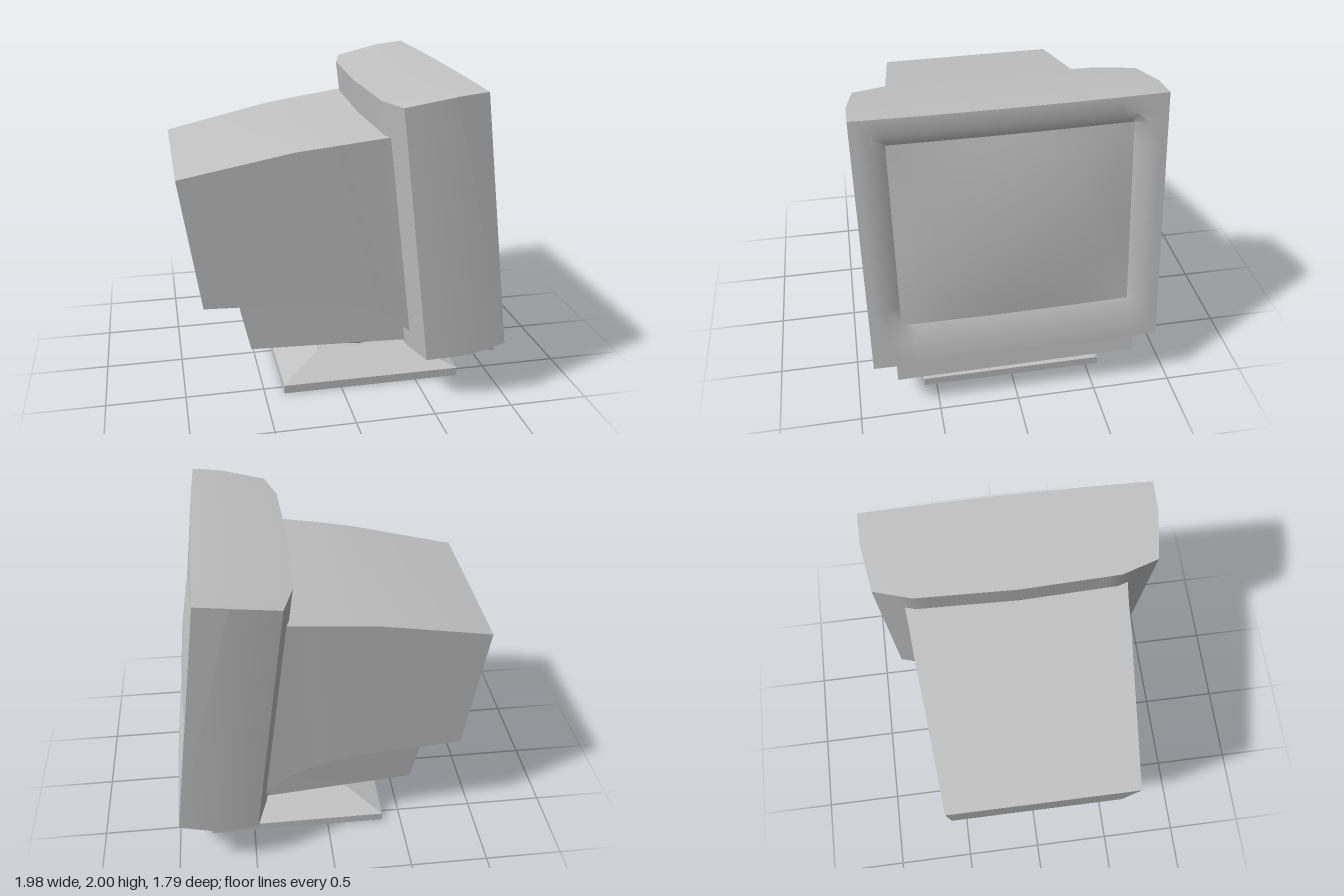
import * as THREE from 'three';
import { toCreasedNormals } from 'three/addons/utils/BufferGeometryUtils.js';

const grey = new THREE.MeshStandardMaterial({ color: 0xc2c2c2 });
grey.name = 'casing grey';

// Skins rows of points; optionally closes each row into a ring and caps both ends.
function skin(rows, { ring = false, caps = false, crease = 0.6, keep = () => true } = {}) {
  const n = rows[0].length, index = [];
  for (let i = 0; i < rows.length - 1; i++) {
    for (let j = 0; j < (ring ? n : n - 1); j++) {
      if (!keep(i, j)) continue;
      const k = (j + 1) % n;
      const a = i * n + j, b = i * n + k, c = (i + 1) * n + k, d = (i + 1) * n + j;
      index.push(a, b, c, a, c, d);
    }
  }
  if (caps) {
    const last = (rows.length - 1) * n;
    for (let j = 1; j < n - 1; j++) index.push(0, j + 1, j, last, last + j, last + j + 1);
  }
  const g = new THREE.BufferGeometry();
  g.setAttribute('position', new THREE.Float32BufferAttribute(rows.flat(2), 3));
  g.setIndex(index);
  return toCreasedNormals(g, crease);
}

// Four-cornered sections [topX, topY, bottomX, bottomY, halfWidth] running back to front.
const boxLoft = (sections) => skin(
  sections.map(([tx, ty, bx, by, w]) => [[tx, ty, -w], [tx, ty, w], [bx, by, w], [bx, by, -w]]),
  { ring: true, caps: true });

function add(parent, name, geometry) {
  const mesh = new THREE.Mesh(geometry, grey);
  mesh.name = name;
  parent.add(mesh);
  return mesh;
}

// Piecewise linear lookup in a list of [key, value].
function lookup(table, x) {
  for (let i = 1; i < table.length; i++) {
    const [x0, y0] = table[i - 1], [x1, y1] = table[i];
    if (x <= x1) return y0 + (y1 - y0) * (x - x0) / (x1 - x0);
  }
  return table[table.length - 1][1];
}

export function createModel() {
  const model = new THREE.Group();
  model.name = 'monitor';
  const head = new THREE.Group();
  head.name = 'head';
  head.rotation.x = 0.009;
  head.position.y = -0.006;
  model.add(head);

  // Bezel shell: slices across the width, open at the front
  const half = [0, 0.2, 0.4, 0.55, 0.62, 0.7, 0.78, 0.85, 0.89];
  const zs = [...half.slice(1).reverse(), ...half.map((z) => -z)];
  const backTop = [[0, 0.19], [0.62, 0.21], [0.85, 0.28], [0.89, 0.56]];
  const backBottom = [[0, 0.40], [0.62, 0.41], [0.85, 0.48], [0.89, 0.73]];
  const topY = [[0.19, 1.91], [0.28, 1.92], [0.58, 1.98], [0.76, 2.0]];
  const bottomY = [[0.40, 0.31], [0.48, 0.31], [0.74, 0.34], [0.98, 0.40]];
  const bulge = (z) => 0.015 * (1 - (z / 0.89) ** 2);
  const shell = zs.map((z) => {
    const t = lookup(backTop, Math.abs(z)), b = lookup(backBottom, Math.abs(z));
    return [
      [0.97 + bulge(z), 0.40, z], [0.74, 0.34, z], [b, lookup(bottomY, b), z],
      [t, lookup(topY, t), z], [0.58, 1.98, z], [0.76 + bulge(z), 2.0, z],
    ];
  });
  add(head, 'bezelShell', skin(shell, { caps: true }));

  // Front frame sloping in to a gently domed screen
  const ys = [2.0, 1.9, 1.83, 1.7, 1.5, 1.25, 1.0, 0.8, 0.665, 0.58, 0.40];
  const frontPoint = (y, z) => {
    const s = Math.abs(z) / 0.7, t = Math.abs(y - 1.2475) / 0.5825;
    const line = 0.97 - 0.21 * (y - 0.4) / 1.6 + bulge(z);
    let depth = 0;
    if (s <= 1.001 && t <= 1.001) depth = -0.035 + 0.05 * (1 - s * s) * (1 - t * t);
    return [line + depth, y, z];
  };
  const front = zs.map((z) => ys.map((y) => frontPoint(y, z)));
  const inScreen = (i, j) =>
    Math.abs(zs[i] + zs[i + 1]) / 2 < 0.7 && ys[j] < 1.84 && ys[j + 1] > 0.66;
  add(head, 'frontFrame', skin(front, { keep: (i, j) => !inScreen(i, j) }));
  add(head, 'screen', skin(front, { keep: inScreen }));

  // Control flap under the chin
  const flap = new THREE.Shape([
    [0.70, 0.36], [0.94, 0.275], [0.965, 0.275], [0.945, 0.41],
  ].map(([x, y]) => new THREE.Vector2(x, y)));
  const flapGeometry = new THREE.ExtrudeGeometry(flap, { depth: 1.5, bevelEnabled: false });
  flapGeometry.translate(0, 0, -0.75);
  add(head, 'controlFlap', flapGeometry);

  // Tapered tube housing with a curved underside toward the bezel
  add(head, 'rearHousing', boxLoft([
    [-0.99, 1.49, -0.865, 0.66, 0.58],
    [-0.3, 1.635, -0.2, 0.66, 0.635],
    [-0.04, 1.67, 0.06, 0.63, 0.66],
    [0.12, 1.69, 0.26, 0.56, 0.67],
    [0.27, 1.71, 0.43, 0.42, 0.685],
  ]));

  // Narrower lower housing
  add(head, 'lowerHousing', boxLoft([
    [-0.66, 0.70, -0.57, 0.30, 0.48],
    [0.42, 0.65, 0.48, 0.335, 0.61],
  ]));

  // Swivel bowl
  const bowlProfile = [[0, 0.14], [0.24, 0.145], [0.33, 0.175], [0.41, 0.23], [0.48, 0.3], [0.51, 0.36]];
  const bowl = new THREE.LatheGeometry(bowlProfile.map(([r, y]) => new THREE.Vector2(r, y)), 20);
  add(model, 'swivelBowl', bowl).position.x = 0.18;

  // Square foot: thin slab rising to a smaller flat top
  const square = (y, w, d) =>
    [[-w, -d], [w, -d], [w, d], [-w, d]].map(([x, z]) => [x, y, z]);
  const foot = skin(
    [square(0.145, 0.31, 0.31), square(0.055, 0.58, 0.58), square(0, 0.58, 0.58)],
    { ring: true, caps: true, crease: 0.2 });
  add(model, 'foot', foot).position.x = 0.205;

  return model;
}
